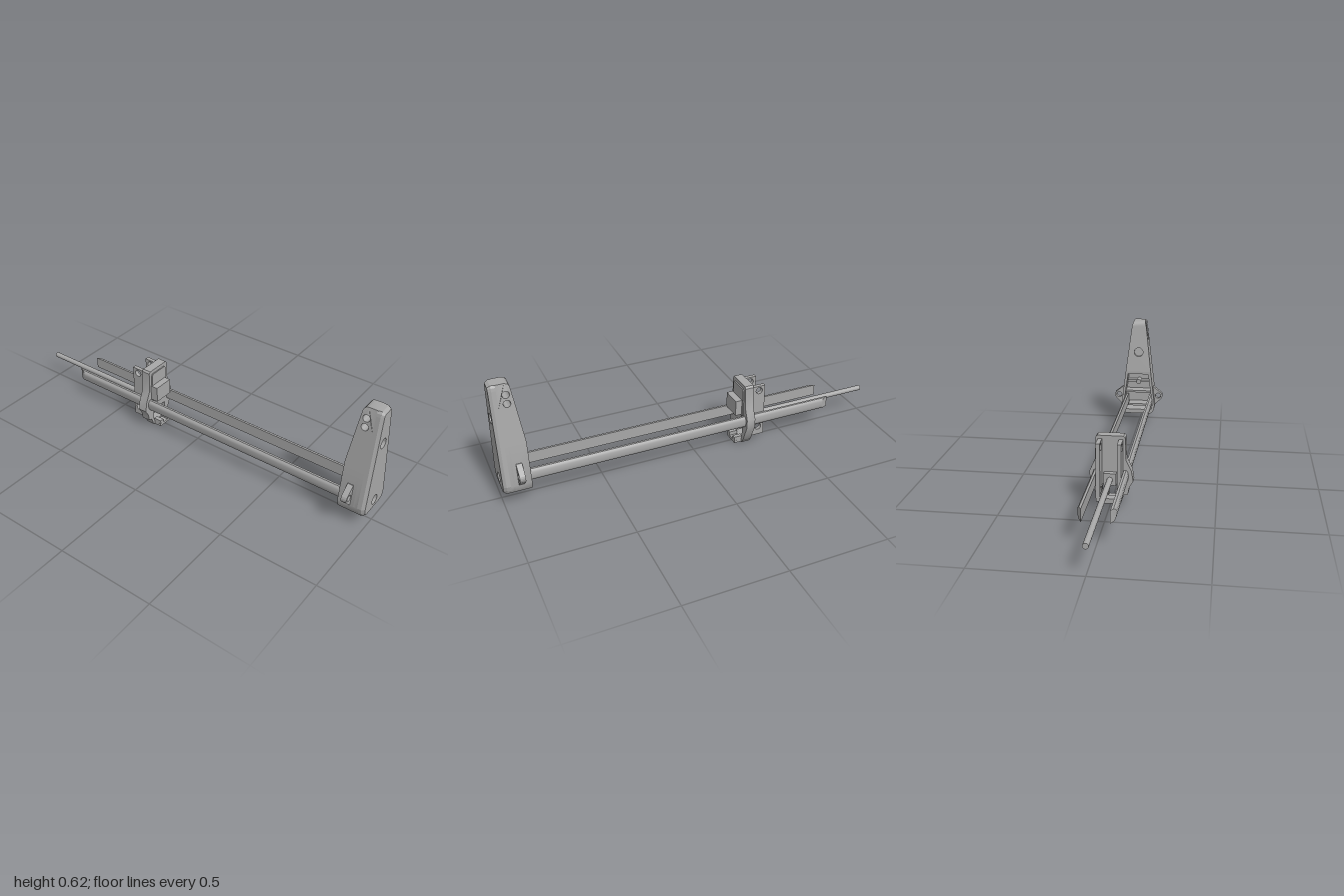
import * as THREE from 'three';
import { toCreasedNormals } from 'three/addons/utils/BufferGeometryUtils.js';

export function createModel() {
  const model = new THREE.Group();
  const grey = new THREE.MeshStandardMaterial({ color: 0xa8a8a8 });
  grey.name = 'grey';

  const group = (name) => {
    const g = new THREE.Group();
    g.name = name;
    model.add(g);
    return g;
  };
  const add = (parent, name, geo) => {
    const m = new THREE.Mesh(geo, grey);
    m.name = name;
    parent.add(m);
    return m;
  };
  const poly = (pts, holes = []) => {
    const s = new THREE.Shape(pts.map(([x, y]) => new THREE.Vector2(x, y)));
    for (const [x, y, r] of holes) s.holes.push(new THREE.Path().absarc(x, y, r, 0, Math.PI * 2, true));
    return s;
  };
  const finish = (g) => toCreasedNormals(g, 0.6);
  // Front-facing plate between two z values
  const slab = (shape, z0, z1) =>
    finish(new THREE.ExtrudeGeometry(shape, { depth: z1 - z0, bevelEnabled: false, curveSegments: 16 }).translate(0, 0, z0));
  // Side profile drawn in (z, y), spread across x; width may vary with height
  const sideSlab = (shape, halfWidth, cx = 0) => {
    const g = new THREE.ExtrudeGeometry(shape, { depth: 2, bevelEnabled: false, curveSegments: 16 })
      .translate(0, 0, -1).rotateY(-Math.PI / 2);
    const p = g.attributes.position;
    for (let i = 0; i < p.count; i++) p.setX(i, cx + p.getX(i) * halfWidth(p.getY(i)));
    g.computeVertexNormals();
    return finish(g);
  };
  const box = (parent, name, x0, x1, y0, y1, z0, z1) =>
    add(parent, name, new THREE.BoxGeometry(x1 - x0, y1 - y0, z1 - z0)
      .translate((x0 + x1) / 2, (y0 + y1) / 2, (z0 + z1) / 2));
  const mirror = (half) => [...half, ...half.map(([x, y]) => [-x, y]).reverse()];

  // ---- Tapered tower ----
  const tower = group('tower');
  const width = (y) => 0.1 - (y - 0.12) * 0.121;
  const backZ = (y) => 0.865 + (y - 0.33) * 0.13;
  const foot = [[0.072, 0.07], [0.086, 0.077], [0.095, 0.095], [0.1, 0.12]];
  const inset = 0.01;

  // Face plate with two blind holes and a chamfered rim
  const faceShape = poly(mirror([[0.064, 0.08], [0.078, 0.085], [0.086, 0.1], [0.09, 0.12],
    [0.034, 0.6], [0.031, 0.61], [0.025, 0.615]]), [[0, 0.122, 0.025], [0, 0.445, 0.025]]);
  add(tower, 'facePlate', slab(faceShape, 0.97, 1));
  const rim = mirror([...foot, [0.042, 0.6], [0.039, 0.615], [0.03, 0.625]]);
  const face = mirror([[0.064, 0.08], [0.078, 0.085], [0.086, 0.1], [0.09, 0.12],
    [0.034, 0.6], [0.031, 0.61], [0.025, 0.615]]);
  const chamfer = [];
  rim.forEach((a, i) => {
    const j = (i + 1) % rim.length;
    const A = [...a, 0.985], B = [...rim[j], 0.985], C = [...face[j], 1], D = [...face[i], 1];
    const A0 = [...a, 0.965], B0 = [...rim[j], 0.965];
    chamfer.push(...A, ...B, ...C, ...A, ...C, ...D, ...A0, ...B0, ...B, ...A0, ...B, ...A);
  });
  const chamferGeo = new THREE.BufferGeometry();
  chamferGeo.setAttribute('position', new THREE.Float32BufferAttribute(chamfer, 3));
  chamferGeo.computeVertexNormals();
  add(tower, 'faceRim', chamferGeo);

  // Solid head with two cross holes
  add(tower, 'head', sideSlab(poly([[0.97, 0.5], [0.97, 0.625], [0.925, 0.625], [0.91, 0.62], [0.902, 0.61],
    [0.9, 0.595], [backZ(0.5), 0.5]], [[0.925, 0.573, 0.017], [0.925, 0.53, 0.017]]),
    (y) => y > 0.6 ? 0.042 - (y - 0.6) * 0.35 : width(y)));
  // Middle core, with a sloped back plate holding a blind hole
  const skin = 0.015;
  add(tower, 'middle', sideSlab(poly([[0.97, 0.33], [0.97, 0.5], [backZ(0.5) + skin, 0.5], [backZ(0.33) + skin, 0.33]]), width));
  const backPlate = new THREE.ExtrudeGeometry(
    poly(mirror([[width(0.33), 0.33], [width(0.5), 0.5]]), [[0, 0.445, 0.026]]),
    { depth: skin, bevelEnabled: false, curveSegments: 16 });
  const bp = backPlate.attributes.position;
  for (let i = 0; i < bp.count; i++) bp.setZ(i, bp.getZ(i) + backZ(bp.getY(i)));
  backPlate.computeVertexNormals();
  add(tower, 'backPlate', finish(backPlate));

  // Lower shell around an open rear cavity
  const shell = poly(mirror([...foot, [width(0.33), 0.33]]));
  shell.holes.push(new THREE.Path(mirror([[0.08, 0.095], [0.086, 0.13], [0.06, 0.315]])
    .reverse().map(([x, y]) => new THREE.Vector2(x, y))));
  add(tower, 'lowerShell', slab(shell, 0.865, 0.97));
  add(tower, 'cavityFloor', slab(poly(mirror([...foot, [width(0.33), 0.33]])), 0.945, 0.97));
  box(tower, 'cavityShelf', -0.075, 0.075, 0.195, 0.207, 0.885, 0.95);
  box(tower, 'cavityTray', -0.06, 0.06, 0.115, 0.127, 0.875, 0.95);
  box(tower, 'cavityBracket', -0.065, 0.065, 0.255, 0.267, 0.91, 0.95);
  add(tower, 'cavityBoss', new THREE.CylinderGeometry(0.014, 0.014, 0.06, 20)
    .rotateX(Math.PI / 2).translate(0, 0.26, 0.92));

  // Side ears
  for (const s of [1, -1]) {
    const ear = new THREE.Shape();
    ear.moveTo(0.08, 0.11);
    ear.lineTo(0.095, 0.115);
    ear.lineTo(0.134, 0.153);
    ear.absarc(0.118, 0.174, 0.026, -0.85, 0.85, false);
    ear.lineTo(0.09, 0.229);
    ear.lineTo(0.08, 0.229);
    ear.holes.push(new THREE.Path().absarc(0.118, 0.174, 0.016, 0, Math.PI * 2, true));
    const g = slab(ear, 0.9, 0.928);
    if (s < 0) g.rotateY(Math.PI).translate(0, 0, 1.828);
    add(tower, s > 0 ? 'leftEar' : 'rightEar', g);
  }

  // ---- Twin rails: flat inside, rounded outside, ends cut at a slant ----
  const rails = group('rails');
  for (const s of [1, -1]) {
    const half = [[0.063, 0.115], [0.074, 0.115], [0.08, 0.12], [0.084, 0.13],
      [0.085, 0.145], [0.084, 0.16], [0.08, 0.17], [0.074, 0.175], [0.063, 0.175]];
    const g = new THREE.ExtrudeGeometry(poly(half.map(([x, y]) => [x * s, y])),
      { depth: 1.68, bevelEnabled: false }).translate(0, 0, -0.75);
    const p = g.attributes.position;
    for (let i = 0; i < p.count; i++)
      if (p.getZ(i) < 0) p.setZ(i, -0.75 + (Math.abs(p.getX(i)) - 0.063) * 1.9);
    g.computeVertexNormals();
    add(rails, s > 0 ? 'leftRail' : 'rightRail', finish(g));
  }

  // ---- Rear rod ----
  add(model, 'rod', new THREE.CylinderGeometry(0.0135, 0.0135, 0.71, 24)
    .rotateX(Math.PI / 2).translate(0, 0.134, -0.645));

  // ---- Sliding carriage ----
  const carriage = group('carriage');
  const plate = poly([[-0.042, 0], [0.042, 0], [0.05, 0.012], [0.058, 0.02], [0.078, 0.07], [0.098, 0.115],
    [0.1, 0.165], [0.074, 0.225], [0.07, 0.335], [0.062, 0.345],
    [-0.062, 0.345], [-0.07, 0.335], [-0.074, 0.225], [-0.1, 0.17], [-0.108, 0.12],
    [-0.09, 0.09], [-0.082, 0.05], [-0.065, 0.048], [-0.05, 0.012]]);
  plate.holes.push(new THREE.Path([[-0.044, 0.025], [-0.044, 0.1], [0.044, 0.1], [0.044, 0.025]]
    .map(([x, y]) => new THREE.Vector2(x, y))));
  add(carriage, 'mainPlate', slab(plate, -0.302, -0.256));
  add(carriage, 'frontPanel', slab(poly(mirror([[0.045, 0.165], [0.054, 0.175], [0.054, 0.315], [0.045, 0.325]])), -0.26, -0.25));
  box(carriage, 'frontBlock', -0.06, 0.045, 0.175, 0.258, -0.26, -0.216);
  box(carriage, 'bottomLip', -0.04, 0.04, 0.004, 0.018, -0.26, -0.216);
  box(carriage, 'rodHolder', -0.03, 0.03, 0.105, 0.165, -0.328, -0.3);
  for (const s of [1, -1]) {
    const side = s > 0 ? 'left' : 'right';
    box(carriage, side + 'Peg', s * 0.028 - 0.011, s * 0.028 + 0.011, 0.016, 0.038, -0.26, -0.216);
    // Rear flange with two cross holes
    add(carriage, side + 'Flange', sideSlab(poly([[-0.372, 0.04], [-0.3, 0.04], [-0.3, 0.328], [-0.372, 0.328]],
      [[-0.34, 0.302, 0.018], [-0.34, 0.087, 0.018]]), () => 0.01, s * 0.05));
  }
  return model;
}
